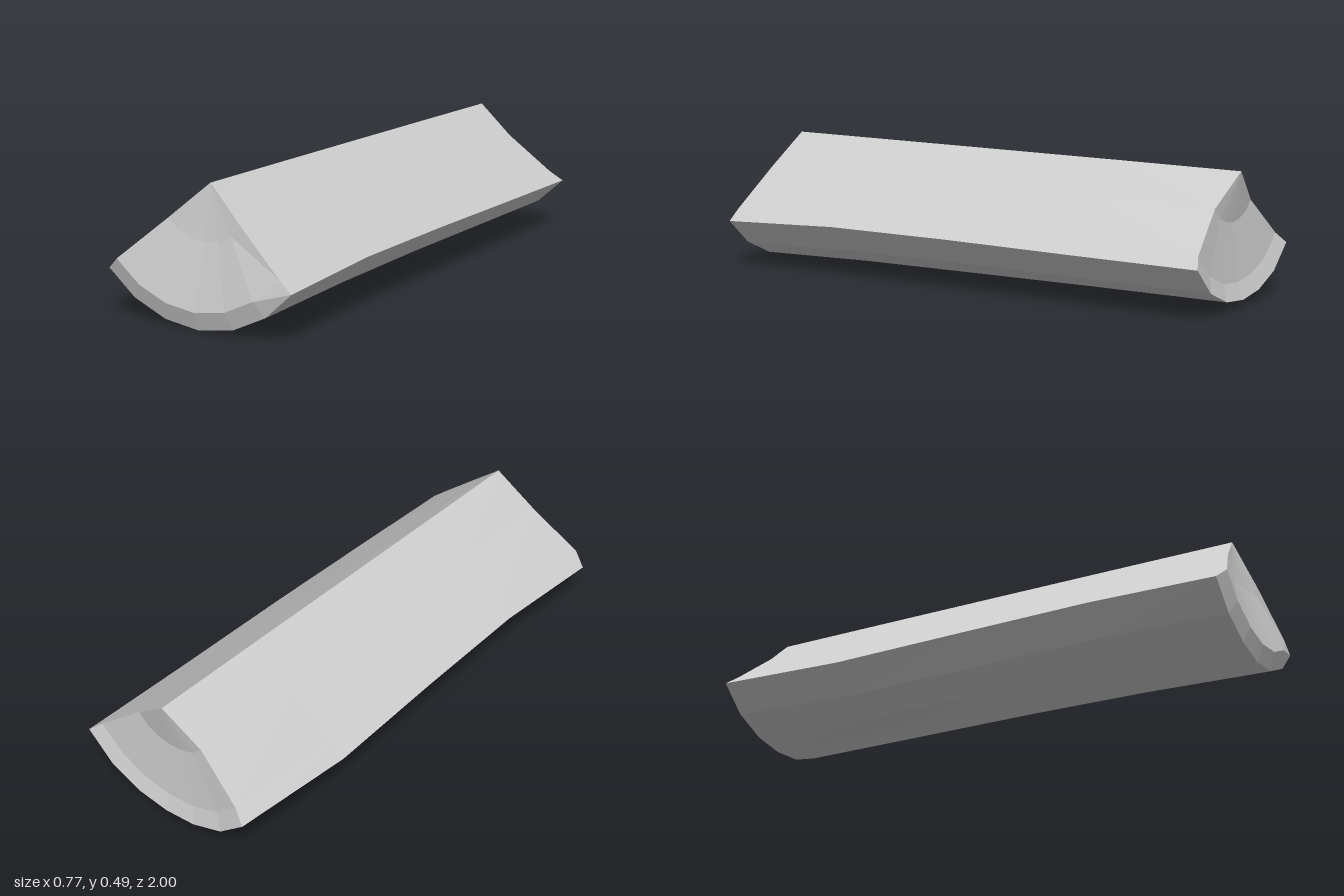
import * as THREE from 'three';

// Cross-sections from front to back: ridge apex [x, y], then the bark arc from -x to +x
const sections = [
  { z: 0.975, apex: [0.015, 0.495], arc: [[-0.37, 0.165], [-0.262, 0.075], [-0.132, 0.02], [0.008, 0.002], [0.15, 0.026], [0.28, 0.088], [0.384, 0.183]] },
  { z: 0.5, apex: [0.011, 0.491], arc: [[-0.36, 0.178], [-0.258, 0.085], [-0.132, 0.028], [0.006, 0.013], [0.14, 0.035], [0.268, 0.095], [0.37, 0.2]] },
  { z: 0, apex: [0.007, 0.486], arc: [[-0.37, 0.165], [-0.265, 0.072], [-0.132, 0.026], [0.003, 0.018], [0.138, 0.038], [0.265, 0.098], [0.37, 0.2]] },
  { z: -0.5, apex: [0.004, 0.481], arc: [[-0.385, 0.148], [-0.275, 0.06], [-0.134, 0.026], [0, 0.023], [0.135, 0.04], [0.264, 0.095], [0.369, 0.194]] },
  { z: -1, apex: [0, 0.475], arc: [[-0.37, 0.172], [-0.264, 0.085], [-0.132, 0.038], [0, 0.025], [0.133, 0.04], [0.262, 0.092], [0.37, 0.19]] },
];
const RINGS = [0, 0.4, 0.866, 1]; // distance from the apex towards the bark

// Depth of each ring on the two sawn ends
const FRONT_Z = [0.905, 0.94, 0.997, 0.975];
const BACK_Z = [-0.983, -0.955, -0.978, -1];

function point(s, i, ring, zs) {
  const t = RINGS[ring];
  const [ax, ay] = s.apex, [x, y] = s.arc[i];
  let z = zs ? zs[ring] : s.z;
  if (zs === FRONT_Z && ring === 2 && i === 6) z = 0.972;
  return [ax + (x - ax) * t, ay + (y - ay) * t, z];
}

function buildMesh(name, material, fill) {
  const pos = [];
  const tri = (a, b, c) => pos.push(...a, ...b, ...c);
  fill(tri, (a, b, c, d) => { tri(a, b, c); tri(a, c, d); });
  const geo = new THREE.BufferGeometry();
  geo.setAttribute('position', new THREE.Float32BufferAttribute(pos, 3));
  geo.computeVertexNormals();
  const mesh = new THREE.Mesh(geo, material);
  mesh.name = name;
  return mesh;
}

// Sawn end: a fan around the apex, then two strips out to the bark
function sawnEnd(name, material, s, zs, flip) {
  return buildMesh(name, material, (tri) => {
    const put = (a, b, c) => (flip ? tri(a, c, b) : tri(a, b, c));
    for (let i = 0; i < 6; i++) {
      const p = (k, r) => point(s, i + k, r, zs);
      put(p(0, 0), p(0, 1), p(1, 1));
      for (let r = 1; r < 3; r++) {
        put(p(0, r), p(0, r + 1), p(1, r + 1));
        put(p(0, r), p(1, r + 1), p(1, r));
      }
    }
  });
}

export function createModel() {
  const group = new THREE.Group();
  group.name = 'splitLog';
  const wood = new THREE.MeshStandardMaterial({ color: 0xcccccc });
  wood.name = 'pale grey wood';
  wood.flatShading = true;

  const last = sections.length - 1;
  const at = (k, i, ring) => point(sections[k], i, ring, k === 0 ? FRONT_Z : k === last ? BACK_Z : null);

  // Rounded bark underside
  group.add(buildMesh('bark', wood, (tri, quad) => {
    for (let k = 0; k < last; k++)
      for (let i = 0; i < 6; i++)
        quad(at(k, i, 3), at(k + 1, i, 3), at(k + 1, i + 1, 3), at(k, i + 1, 3));
  }));

  // Two split faces from the ridge down to the bark
  for (const [name, i] of [['rightSplitFace', 0], ['leftSplitFace', 6]]) {
    group.add(buildMesh(name, wood, (tri, quad) => {
      for (let k = 0; k < last; k++)
        for (let r = 0; r < 3; r++) {
          const a = at(k, i, r), b = at(k + 1, i, r), c = at(k + 1, i, r + 1), d = at(k, i, r + 1);
          if (i === 0) quad(a, b, c, d);
          else quad(a, d, c, b);
        }
    }));
  }

  group.add(sawnEnd('frontEnd', wood, sections[0], FRONT_Z, false));
  group.add(sawnEnd('backEnd', wood, sections[last], BACK_Z, true));
  return group;
}
